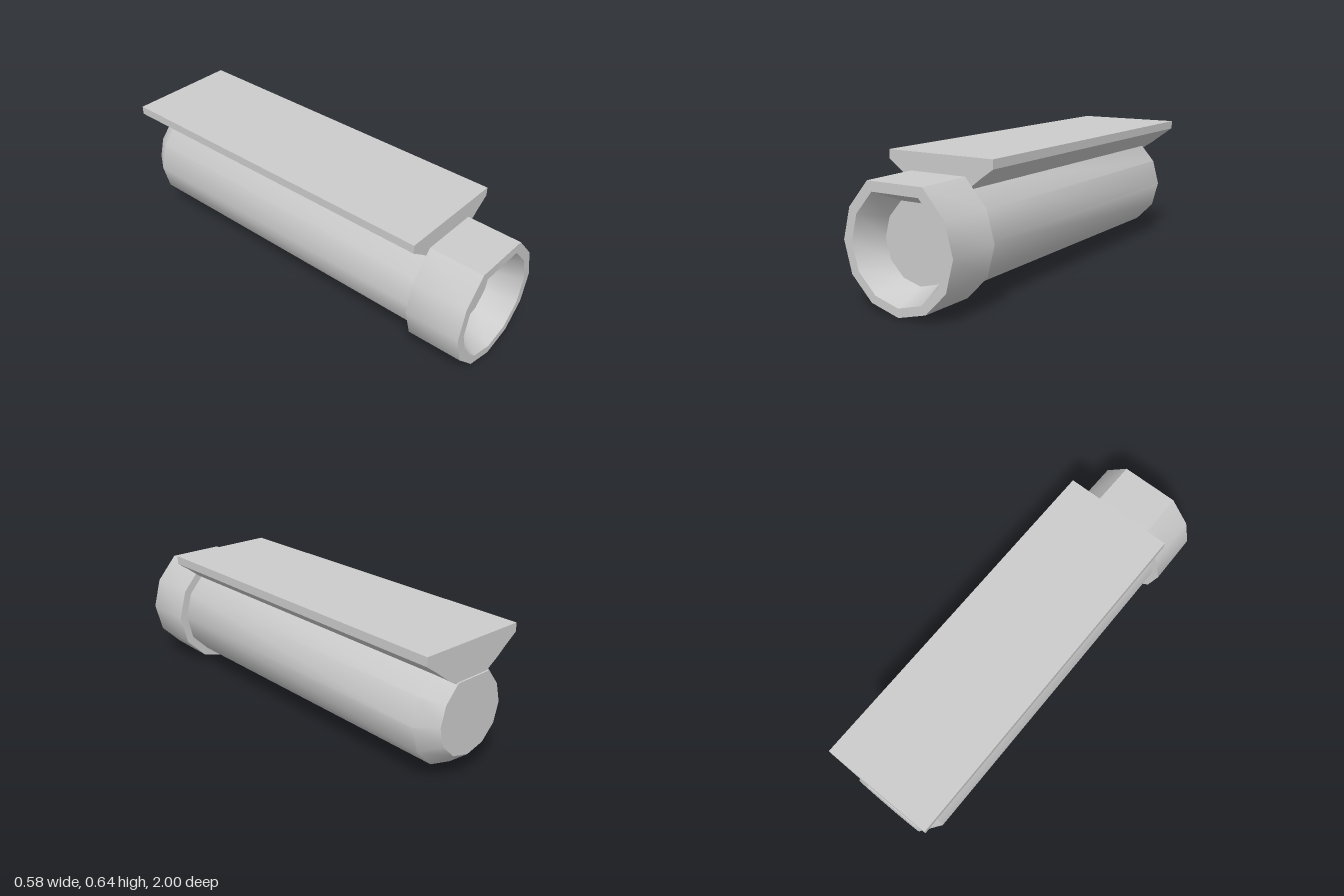
import * as THREE from 'three';
import { toCreasedNormals } from 'three/addons/utils/BufferGeometryUtils.js';

const material = new THREE.MeshStandardMaterial({ color: 0xcccccc });

// Twelve-sided outline without its top corner, which leaves a flat top.
function outline([r, cy, z]) {
  const points = [];
  for (let k = 0; k < 12; k++) {
    if (k === 6) continue;
    const a = (k * Math.PI) / 6;
    const y = k === 5 || k === 7 ? 0.915 * r : -r * Math.cos(a);
    points.push([r * Math.sin(a), cy + y, z]);
  }
  return points;
}

// Skins [radius, centre height, z] sections from back to front, with closed ends.
function loft(sections) {
  const rings = sections.map(outline);
  const n = rings[0].length;
  const last = rings.length - 1;
  const centre = ([, cy, z]) => [0, cy, z];
  const pos = [];
  for (let k = 0; k < n; k++) {
    const m = (k + 1) % n;
    for (let i = 0; i < last; i++) {
      const a = rings[i], b = rings[i + 1];
      pos.push(...a[k], ...a[m], ...b[m], ...a[k], ...b[m], ...b[k]);
    }
    pos.push(...centre(sections[0]), ...rings[0][m], ...rings[0][k]);
    pos.push(...centre(sections[last]), ...rings[last][k], ...rings[last][m]);
  }
  const geometry = new THREE.BufferGeometry();
  geometry.setAttribute('position', new THREE.Float32BufferAttribute(pos, 3));
  return toCreasedNormals(geometry, 0.6);
}

function addPart(group, name, geometry) {
  const mesh = new THREE.Mesh(geometry, material);
  mesh.name = name;
  group.add(mesh);
  return mesh;
}

export function createModel() {
  const group = new THREE.Group();
  group.name = 'tubeWithMount';

  // Barrel with a chamfered back end
  addPart(group, 'barrel', loft([
    [0.186, 0.301, -1],
    [0.25, 0.29, -0.91],
    [0.25, 0.29, 0.76],
  ]));

  // Wider front collar with a tapered recess
  addPart(group, 'collar', loft([
    [0.29, 0.29, 0.735],
    [0.287, 0.29, 1],
    [0.243, 0.286, 1],
    [0.185, 0.283, 0.86],
  ]));

  // Flat rail whose underside narrows to a neck sunk into the barrel
  const half = [[0.07, 0.455], [0.16, 0.513], [0.215, 0.555], [0.275, 0.597], [0.275, 0.638]];
  const mirrored = half.map(([x, y]) => [-x, y]).reverse();
  const profile = new THREE.Shape([...half, ...mirrored].map(([x, y]) => new THREE.Vector2(x, y)));
  const railGeometry = new THREE.ExtrudeGeometry(profile, { depth: 1.73, bevelEnabled: false });
  const rail = addPart(group, 'mountingRail', toCreasedNormals(railGeometry, 0.4));
  rail.position.set(0.01, 0, -0.996);

  return group;
}
